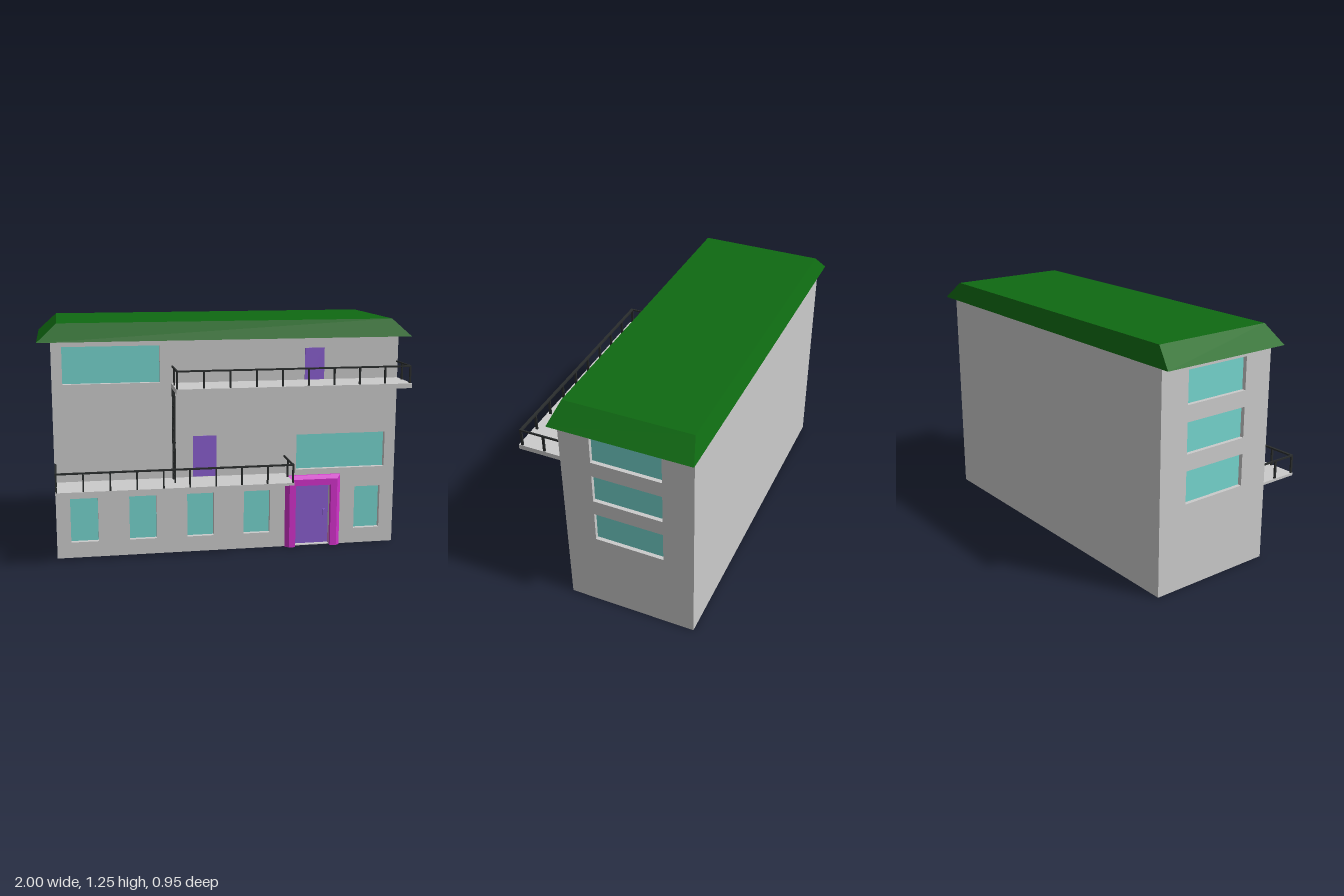
import * as THREE from 'three';

const paint = (color) => new THREE.MeshStandardMaterial({ color });
const grey = paint(0xcccccc), glass = paint(0x76d6cf), green = paint(0x0f6a12);
const purple = paint(0x8a5fd0), pink = paint(0xd432cc), iron = paint(0x2a2d2d);

// Box given by its limits on each axis
function block(parent, name, material, [x0, x1], [y0, y1], [z0, z1]) {
  const mesh = new THREE.Mesh(new THREE.BoxGeometry(x1 - x0, y1 - y0, z1 - z0), material);
  mesh.position.set((x0 + x1) / 2, (y0 + y1) / 2, (z0 + z1) / 2);
  mesh.name = name;
  parent.add(mesh);
  return mesh;
}

function outline(target, x0, x1, y0, y1) {
  target.moveTo(x0, y0);
  target.lineTo(x1, y0);
  target.lineTo(x1, y1);
  target.lineTo(x0, y1);
  target.closePath();
  return target;
}

// Wall slab with real openings and a pane set back in each one
function wall(name, x0, x1, height, depth, openings) {
  const group = new THREE.Group();
  group.name = name;
  const shape = outline(new THREE.Shape(), x0, x1, 0, height);
  for (const [a, b, c, d, isDoor] of openings) {
    shape.holes.push(outline(new THREE.Path(), a, b, c, d));
    block(group, isDoor ? 'entranceDoor' : 'windowPane', isDoor ? purple : glass, [a, b], [c, d], [-0.002, 0.004]);
  }
  const slab = new THREE.Mesh(new THREE.ExtrudeGeometry(shape, { depth, bevelEnabled: false }), grey);
  slab.name = name + 'Slab';
  group.add(slab);
  return group;
}

// Slab with a railing on its three open sides
function balcony(name, x0, x1, y0, y1, zFront, railTop) {
  const group = new THREE.Group();
  group.name = name;
  block(group, 'balconyFloor', grey, [x0, x1], [y0, y1], [0.245, zFront]);
  const a = x0 + 0.006, b = x1 - 0.006, t = 0.004, z = 0.459;
  const post = (x, pz) => block(group, 'railPost', iron, [x - t, x + t], [y1, railTop - 0.002], [pz - 0.006, pz + 0.006]);
  for (let i = 0; i < 10; i++) post(a + (b - a) * i / 9, z);
  block(group, 'frontRail', iron, [a - t, b + t], [railTop - 0.008, railTop], [z - 0.007, z + 0.007]);
  for (const x of [a, b]) {
    post(x, 0.337);
    block(group, 'sideRail', iron, [x - t, x + t], [railTop - 0.008, railTop], [0.248, z]);
  }
  return group;
}

export function createModel() {
  const house = new THREE.Group();
  house.name = 'house';

  // Solid core behind the wall slabs
  block(house, 'core', grey, [-0.905, 0.905], [0, 1.16], [-0.45, 0.22]);

  // Front wall: long windows, ground floor windows, entrance
  const front = wall('frontWall', -0.93, 0.93, 1.16, 0.03, [
    [-0.875, -0.37, 0.935, 1.13],
    [0.37, 0.87, 0.435, 0.63],
    ...[-0.782, -0.47, -0.158, 0.153, 0.778].map((x) => [x - 0.073, x + 0.073, 0.085, 0.325]),
    [0.365, 0.563, 0.004, 0.348, true],
  ]);
  front.position.z = 0.22;
  house.add(front);

  // Side walls, three windows each
  for (const side of [1, -1]) {
    const span = (z0, z1) => [-side * z0, -side * z1].sort((p, q) => p - q);
    const floors = [[0.445, 0.615], [0.70, 0.86], [0.945, 1.115]];
    const sideWall = wall(side > 0 ? 'leftWall' : 'rightWall', ...span(-0.45, 0.22), 1.16, 0.025,
      floors.map((ys) => [...span(-0.287, 0.085), ...ys]));
    sideWall.rotation.y = side * Math.PI / 2;
    sideWall.position.x = side * 0.905;
    house.add(sideWall);
  }

  // Roof: a box drawn in at the top
  const roof = block(house, 'roof', green, [-1, 1], [1.155, 1.25], [-0.475, 0.267]);
  const rp = roof.geometry.attributes.position;
  for (let i = 0; i < rp.count; i++) {
    if (rp.getY(i) > 0) rp.setXYZ(i, rp.getX(i) * 0.897, rp.getY(i), rp.getZ(i) * 0.903);
  }
  roof.geometry = roof.geometry.toNonIndexed();
  roof.geometry.computeVertexNormals();

  // Entrance surround: chamfered cross-section swept up, across and down
  const section = [[0, 0.245], [0, 0.262], [0.02, 0.278], [0.055, 0.278], [0.055, 0.22]];
  const rings = section.map(([d, z]) => [
    [0.31 + d, 0, z], [0.31 + d, 0.403 - d, z], [0.618 - d, 0.403 - d, z], [0.618 - d, 0, z]]);
  const verts = [];
  for (let i = 0; i < rings.length - 1; i++) {
    for (let j = 0; j < 3; j++) {
      const a = rings[i][j], b = rings[i][j + 1], c = rings[i + 1][j + 1], d = rings[i + 1][j];
      verts.push(...a, ...d, ...c, ...a, ...c, ...b);
    }
  }
  // Feet of the two posts
  for (const j of [0, 3]) {
    for (let i = 1; i < rings.length - 1; i++) verts.push(...rings[0][j], ...rings[i][j], ...rings[i + 1][j]);
  }
  const frameGeometry = new THREE.BufferGeometry();
  frameGeometry.setAttribute('position', new THREE.Float32BufferAttribute(verts, 3));
  frameGeometry.computeVertexNormals();
  const frameMaterial = paint(0xd432cc);
  frameMaterial.side = THREE.DoubleSide;
  const frame = new THREE.Mesh(frameGeometry, frameMaterial);
  frame.name = 'entranceFrame';
  house.add(frame);
  block(house, 'doorHandle', purple, [0.533, 0.545], [0.163, 0.197], [0.222, 0.236]);

  // Balcony doors
  block(house, 'lowerBalconyDoor', purple, [-0.198, -0.07], [0.42, 0.642], [0.245, 0.253]);
  block(house, 'upperBalconyDoor', purple, [0.41, 0.517], [0.93, 1.102], [0.245, 0.253]);

  house.add(balcony('lowerBalcony', -0.93, 0.308, 0.404, 0.418, 0.466, 0.518));
  house.add(balcony('upperBalcony', -0.312, 0.93, 0.906, 0.931, 0.477, 1.024));

  // Ladder between the balconies
  const ladder = new THREE.Group();
  ladder.name = 'ladder';
  for (const z of [0.28, 0.356]) block(ladder, 'ladderRail', iron, [-0.312, -0.304], [0.418, 0.908], [z - 0.005, z + 0.005]);
  for (let i = 0; i < 8; i++) {
    const y = 0.455 + i * 0.06;
    block(ladder, 'rung', iron, [-0.312, -0.304], [y - 0.004, y + 0.004], [0.274, 0.364]);
  }
  house.add(ladder);

  return house;
}
